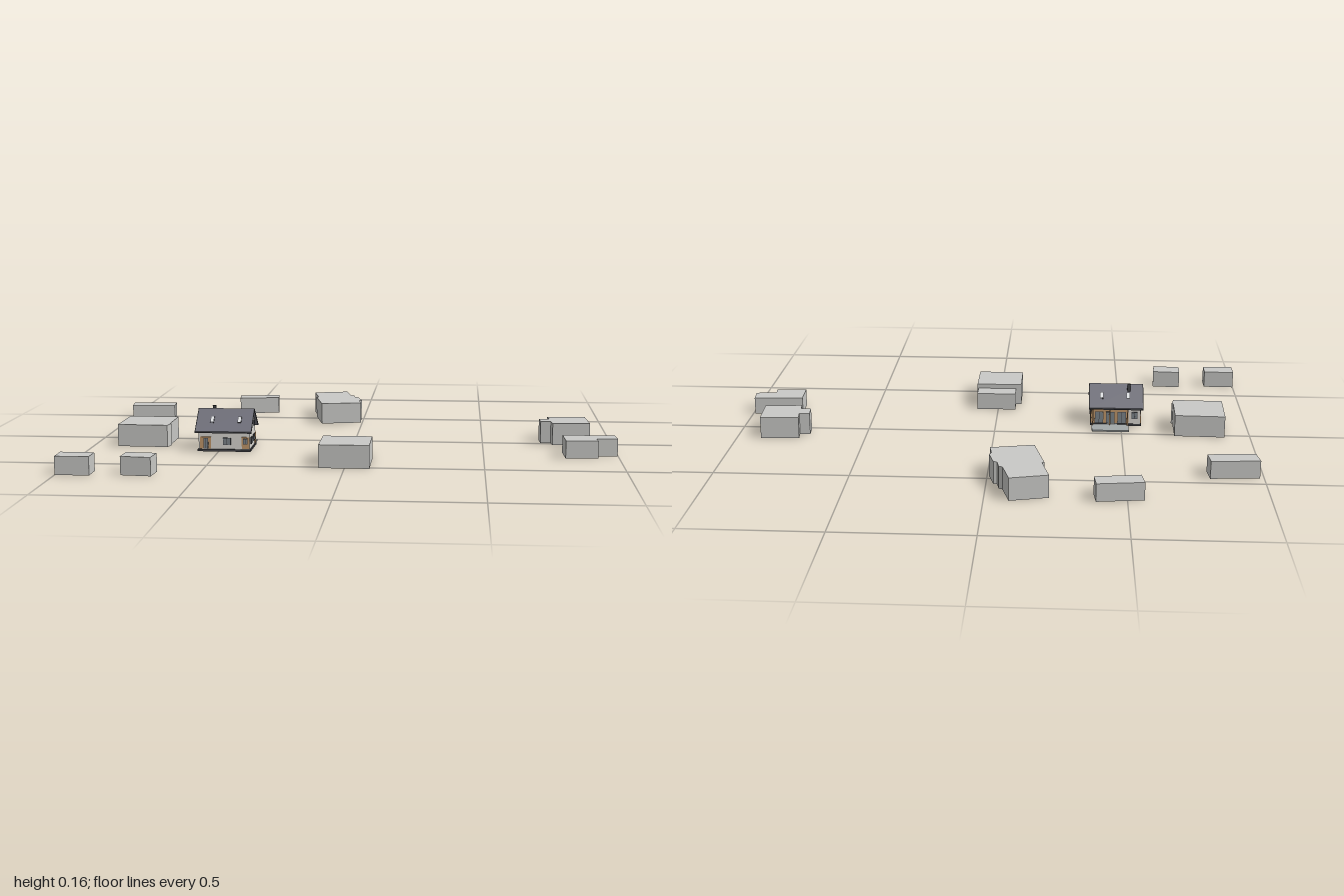
import * as THREE from 'three';

function mat(name, color) {
  const m = new THREE.MeshStandardMaterial({ color });
  m.name = name;
  return m;
}

export function createModel() {
  const root = new THREE.Group();
  root.name = 'houseAndNeighbours';
  const grey = mat('concreteGrey', 0xc9c9c6);
  const white = mat('wallWhite', 0xdcdad4);
  const slate = mat('roofSlate', 0x70707a);
  const dark = mat('darkTrim', 0x45464a);
  const wood = mat('wood', 0xc49a6c);
  const glass = mat('glass', 0x7e868c);
  const pale = mat('skylightPale', 0xe8eaec);
  const paving = mat('paving', 0xa3a8a8);

  function add(parent, name, geometry, material) {
    const m = new THREE.Mesh(geometry, material);
    m.name = name;
    parent.add(m);
    return m;
  }
  // Box given by its lower and upper corners
  function box(parent, name, material, [x0, y0, z0], [x1, y1, z1]) {
    const g = new THREE.BoxGeometry(x1 - x0, y1 - y0, z1 - z0);
    g.translate((x0 + x1) / 2, (y0 + y1) / 2, (z0 + z1) / 2);
    return add(parent, name, g, material);
  }
  // Footprint of [x, z] corners raised to a height
  function block(name, height, corners) {
    const shape = new THREE.Shape(corners.map(([x, z]) => new THREE.Vector2(x, -z)));
    const g = new THREE.ExtrudeGeometry(shape, { depth: height, bevelEnabled: false });
    g.rotateX(-Math.PI / 2);
    add(neighbours, name, g, grey);
  }
  // Section of [z, y] corners stretched along x
  function section(parent, name, material, x0, x1, corners) {
    const shape = new THREE.Shape(corners.map(([z, y]) => new THREE.Vector2(-z, y)));
    const g = new THREE.ExtrudeGeometry(shape, { depth: x1 - x0, bevelEnabled: false });
    g.rotateY(Math.PI / 2).translate(x0, 0, 0);
    return add(parent, name, g, material);
  }

  // Plain neighbouring blocks
  const neighbours = new THREE.Group();
  neighbours.name = 'neighbours';
  root.add(neighbours);
  const LOW = 0.067, HIGH = 0.085;
  block('backShed', LOW, [[-0.56, -0.672], [-0.39, -0.695], [-0.383, -0.626], [-0.55, -0.601]]);
  block('backLongShed', LOW, [[-0.985, -0.444], [-0.805, -0.458], [-0.798, -0.386], [-0.976, -0.373]]);
  block('backBlock', HIGH, [[-0.227, -0.668], [-0.088, -0.703], [-0.062, -0.6], [-0.048, -0.594],
    [-0.04, -0.551], [-0.027, -0.551], [-0.007, -0.475], [-0.015, -0.46], [-0.006, -0.406],
    [-0.168, -0.371], [-0.208, -0.545], [-0.2, -0.55]]);
  block('sideBlock', HIGH, [[-0.9, -0.02], [-0.706, -0.014], [-0.708, 0.134], [-0.702, 0.136],
    [-0.711, 0.177], [-0.905, 0.172]]);
  block('frontBlock', HIGH, [[-0.093, 0.342], [0.09, 0.342], [0.09, 0.515], [-0.093, 0.515]]);
  block('frontBlockExtension', LOW, [[-0.071, 0.27], [0.086, 0.27], [0.086, 0.342], [-0.071, 0.342]]);
  block('eastLowBlock', LOW, [[0.797, 0.171], [0.992, 0.16], [0.998, 0.227], [0.917, 0.235],
    [0.922, 0.273], [0.802, 0.281]]);
  block('eastBlock', HIGH, [[0.757, -0.118], [0.906, -0.126], [0.914, 0.017], [0.77, 0.027],
    [0.765, -0.014], [0.726, -0.014], [0.722, -0.07], [0.762, -0.072]]);
  block('frontShed', LOW, [[-1, 0.62], [-0.877, 0.622], [-0.877, 0.698], [-1, 0.698]]);
  block('frontSmallShed', LOW, [[-0.767, 0.607], [-0.655, 0.615], [-0.66, 0.695], [-0.77, 0.684]]);

  // Detailed house
  const house = new THREE.Group();
  house.name = 'house';
  root.add(house);
  const X0 = -0.577, X1 = -0.382, ZB = 0.098, ZF = 0.24, RIDGE = 0.169;
  box(house, 'foundation', dark, [X0 - 0.004, 0, ZB - 0.004], [X1 + 0.004, 0.008, ZF + 0.008]);
  section(house, 'walls', white, X0, X1, [[ZB, 0.008], [ZF, 0.008], [ZF, 0.087], [RIDGE, 0.146], [ZB, 0.087]]);
  box(house, 'terrace', paving, [-0.53, 0, 0.02], [-0.384, 0.006, ZB - 0.004]);

  // Roof slopes with dark verges at both gables
  const roofProfile = [[0.26, 0.073], [0.26, 0.079], [RIDGE, 0.153], [0.078, 0.079], [0.078, 0.073], [RIDGE, 0.147]];
  section(house, 'roof', slate, -0.585, -0.375, roofProfile);
  for (const x of [-0.588, -0.375]) section(house, 'verge', dark, x, x + 0.003, roofProfile);
  for (const z of [0.0765, 0.2615]) box(house, 'gutter', dark, [-0.588, 0.073, z - 0.002], [-0.372, 0.078, z + 0.002]);
  box(house, 'chimney', dark, [-0.537, 0.12, 0.14], [-0.524, 0.16, 0.151]);

  // Skylights lying on each slope
  const pitch = Math.atan2(0.074, 0.091);
  for (const side of [-1, 1]) for (const x of [-0.527, -0.423]) {
    const frame = new THREE.Group();
    frame.name = 'skylight';
    frame.position.set(x, 0.1165, RIDGE + side * 0.046);
    frame.rotation.x = side * pitch;
    house.add(frame);
    box(frame, 'skylightFrame', dark, [-0.007, -0.002, -0.015], [0.007, 0.002, 0.015]);
    box(frame, 'skylightPane', pale, [-0.005, 0, -0.012], [0.005, 0.003, 0.012]);
  }

  // Wall plates: front and back run along x, gables along z
  function plate(name, m, wall, a0, a1, y0, y1, t = 0.003) {
    if (wall === 'front') box(house, name, m, [a0, y0, ZF], [a1, y1, ZF + t]);
    if (wall === 'back') box(house, name, m, [a0, y0, ZB - t], [a1, y1, ZB]);
    if (wall === 'left') box(house, name, m, [X1, y0, a0], [X1 + t, y1, a1]);
    if (wall === 'right') box(house, name, m, [X0 - t, y0, a0], [X0, y1, a1]);
  }
  function opening(wall, a0, a1, y0, y1) {
    plate('windowFrame', dark, wall, a0, a1, y0, y1, 0.004);
    const mid = (a0 + a1) / 2;
    plate('windowPane', glass, wall, a0 + 0.002, mid - 0.001, y0 + 0.002, y1 - 0.002, 0.005);
    plate('windowPane', glass, wall, mid + 0.001, a1 - 0.002, y0 + 0.002, y1 - 0.002, 0.005);
  }
  // Front: timber panels, door and windows
  plate('timberPanel', wood, 'front', -0.572, -0.53, 0.01, 0.055);
  plate('timberPanel', wood, 'front', -0.412, X1, 0.01, 0.055);
  opening('front', -0.558, -0.54, 0.01, 0.05);
  opening('front', -0.484, -0.454, 0.024, 0.052);
  opening('front', -0.406, -0.39, 0.028, 0.05);
  // Back: timber cladding and terrace glazing
  plate('timberPanel', wood, 'back', -0.53, X1, 0.01, 0.068);
  for (const x of [-0.52, -0.475, -0.43]) opening('back', x, x + 0.034, 0.01, 0.058);
  opening('back', -0.566, -0.542, 0.03, 0.058);
  // Gables: timber corner, ground and attic windows
  for (const wall of ['left', 'right']) {
    plate('timberPanel', wood, wall, ZB, 0.12, 0.01, 0.048);
    opening(wall, 0.128, 0.15, 0.025, 0.05);
    opening(wall, 0.19, 0.215, 0.025, 0.05);
    opening(wall, 0.125, 0.144, 0.083, 0.102);
    opening(wall, 0.196, 0.215, 0.083, 0.102);
  }
  // Terrace posts under the rear eave
  for (const x of [-0.528, -0.458, -0.39]) box(house, 'post', wood, [x, 0.006, 0.081], [x + 0.005, 0.08, 0.086]);
  return root;
}
